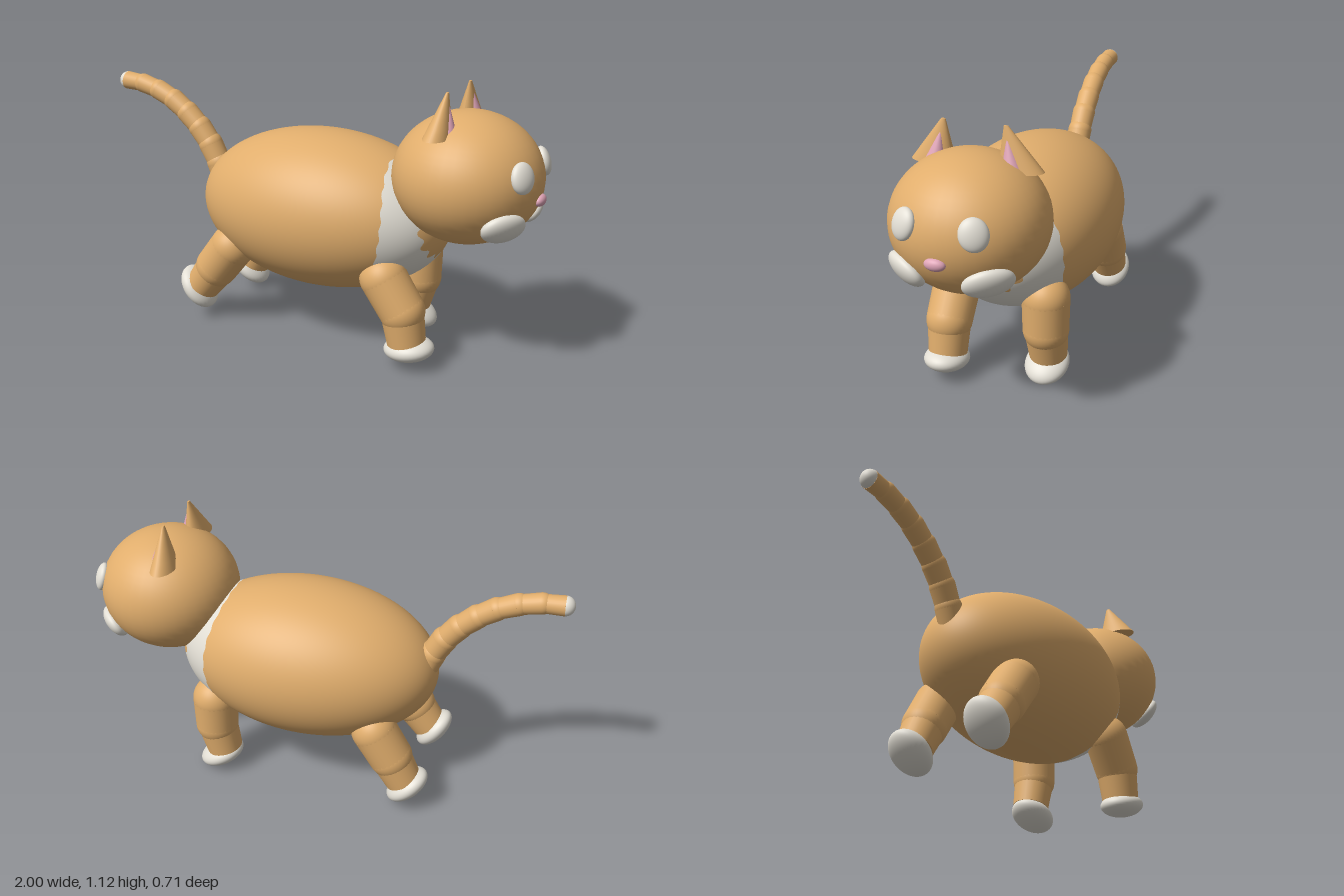
import * as THREE from 'three';

const mat = (name, color) => Object.assign(new THREE.MeshStandardMaterial({ color }), { name });

export function createModel() {
  const fur = mat('orange fur', 0xe0ad6c);
  const white = mat('warm white', 0xe2ded4);
  const pink = mat('pink', 0xdfa4b7);
  const cat = new THREE.Group();
  cat.name = 'cat';
  const V = (x, y, z) => new THREE.Vector3(x, y, z);

  const add = (name, geo, material, parent = cat) => {
    const m = new THREE.Mesh(geo, material);
    m.name = name;
    parent.add(m);
    return m;
  };
  const ball = (name, material, pos, size, parent = cat) => {
    const m = add(name, new THREE.SphereGeometry(1, 40, 28), material, parent);
    m.position.copy(pos);
    m.scale.copy(size);
    return m;
  };
  // Tapered rod between two points
  const rod = (name, material, a, b, ra, rb, parent) => {
    const d = b.clone().sub(a);
    const m = add(name, new THREE.CylinderGeometry(rb, ra, d.length(), 28), material, parent);
    m.position.copy(a).addScaledVector(d, 0.5);
    m.quaternion.setFromUnitVectors(V(0, 1, 0), d.normalize());
    return m;
  };

  // Body: bands of one ellipsoid, measured by angle from the chest tip
  const bodyC = V(0.063, 0.548, 0), bodyR = V(0.563, 0.332, 0.356);
  const bodyBand = (name, material, from, to, rows) => {
    const cols = 128;
    const g = new THREE.SphereGeometry(1, cols, rows, 0, Math.PI * 2, 0.5, 1);
    const p = g.attributes.position, n = g.attributes.normal;
    for (let i = 0; i < p.count; i++) {
      const row = Math.floor(i / (cols + 1));
      const a = (i % (cols + 1)) / cols * Math.PI * 2;
      const th = THREE.MathUtils.lerp(from(a), to(a), row / rows);
      const v = V(Math.cos(th), Math.sin(th) * Math.cos(a), Math.sin(th) * Math.sin(a));
      n.setXYZ(i, ...v.clone().divide(bodyR).normalize().toArray());
      p.setXYZ(i, ...v.multiply(bodyR).add(bodyC).toArray());
    }
    add(name, g, material);
  };
  // Edges by angle around the body: 0 is the back, PI the belly
  const tipEdge = a => 0.46 + 0.09 * Math.min(0, Math.cos(a)) + 0.035 * Math.cos(13 * a);
  const bibEdge = a => 0.84 + 0.165 * Math.cos(a) ** 2 - 0.055 * Math.cos(a) + 0.008 * Math.cos(22 * a);
  bodyBand('chestTip', fur, () => 0, tipEdge, 8);
  bodyBand('bib', white, tipEdge, bibEdge, 14);
  bodyBand('body', fur, bibEdge, () => Math.PI, 36);

  // Head
  const headC = V(0.69, 0.775, 0), headR = V(0.295, 0.26, 0.297);
  ball('head', fur, headC, headR);

  // Flattened pad lying on the head surface at a given height and side
  const facePad = (name, material, y, z, w, h, depth, roll) => {
    const dy = (y - headC.y) / headR.y, dz = z / headR.z;
    const u = V(Math.sqrt(1 - dy * dy - dz * dz), dy, dz);
    const m = ball(name, material, u.clone().multiply(headR).add(headC), V(w, h, depth));
    m.lookAt(m.position.clone().add(u.divide(headR)));
    m.rotateZ(roll);
  };
  facePad('nose', pink, 0.725, 0, 0.04, 0.024, 0.022, 0);

  // Sheared cone for an ear, base centre to tip
  const earCone = (name, material, base, tip, rx, rz) => {
    const h = tip.y - base.y;
    const g = new THREE.CylinderGeometry(0.1, 1, h, 32, 4);
    g.translate(0, h / 2, 0);
    g.scale(rx, 1, rz);
    const p = g.attributes.position;
    for (let i = 0; i < p.count; i++) {
      const t = p.getY(i) / h;
      p.setX(i, p.getX(i) + (tip.x - base.x) * t);
      p.setZ(i, p.getZ(i) + (tip.z - base.z) * t);
    }
    g.computeVertexNormals();
    add(name, g, material).position.copy(base);
  };

  for (const s of [1, -1]) {
    const side = s > 0 ? 'left' : 'right';
    facePad(side + 'Eye', white, 0.84, s * 0.13, 0.053, 0.06, 0.028, -s * 0.2);
    facePad(side + 'Cheek', white, 0.645, s * 0.156, 0.095, 0.07, 0.04, -s * 0.12);
    earCone(side + 'Ear', fur, V(0.625, 0.96, s * 0.17), V(0.638, 1.122, s * 0.12), 0.05, 0.086);
    earCone(side + 'InnerEar', pink, V(0.653, 0.98, s * 0.148), V(0.647, 1.078, s * 0.128), 0.034, 0.037);
  }

  // Legs: shoulder/hip, knee and ankle in x,y; paw centre and tilt
  const legs = [
    ['leftFrontLeg', 0.19, [0.43, 0.365], [0.515, 0.24], [0.54, 0.1], [0.55, 0.083], 0.14],
    ['rightFrontLeg', -0.19, [0.43, 0.365], [0.43, 0.23], [0.4, 0.1], [0.415, 0.066], -0.45],
    ['leftHindLeg', 0.19, [-0.285, 0.36], [-0.37, 0.25], [-0.445, 0.15], [-0.468, 0.134], -0.9],
    ['rightHindLeg', -0.19, [-0.285, 0.36], [-0.36, 0.24], [-0.42, 0.13], [-0.438, 0.105], -0.72],
  ];
  for (const [name, z, hip, knee, ankle, paw, tilt] of legs) {
    const leg = new THREE.Group();
    leg.name = name;
    cat.add(leg);
    const [h, k, a] = [hip, knee, ankle].map(q => V(q[0], q[1], z));
    ball('shoulder', fur, h, V(0.096, 0.096, 0.096), leg);
    rod('upperLeg', fur, h, k, 0.096, 0.093, leg);
    ball('knee', fur, k, V(0.093, 0.093, 0.093), leg);
    rod('lowerLeg', fur, k, a, 0.088, 0.078, leg);
    ball('paw', white, V(paw[0], paw[1], z), V(0.104, 0.05, 0.09), leg).rotation.z = tilt;
  }

  // Tail: short overlapping tapered rings along a curve
  const curve = new THREE.CatmullRomCurve3([
    V(-0.44, 0.58, 0), V(-0.49, 0.7, 0), V(-0.58, 0.82, 0),
    V(-0.71, 0.92, 0), V(-0.85, 0.972, 0), V(-0.965, 0.982, 0),
  ]);
  const rings = 8;
  for (let i = 0; i < rings; i++) {
    const a = curve.getPointAt(i / rings), b = curve.getPointAt((i + 1) / rings);
    const r = 0.056 - 0.018 * i / rings;
    rod('tailRing', fur, a, b, r - 0.003, r, cat);
    ball('tailJoint', fur, b, V(r, r, r).multiplyScalar(i < rings - 1 ? 1 : 0.8));
  }
  ball('tailTip', white, V(-0.963, 0.982, 0), V(0.037, 0.0395, 0.0395));

  return cat;
}
